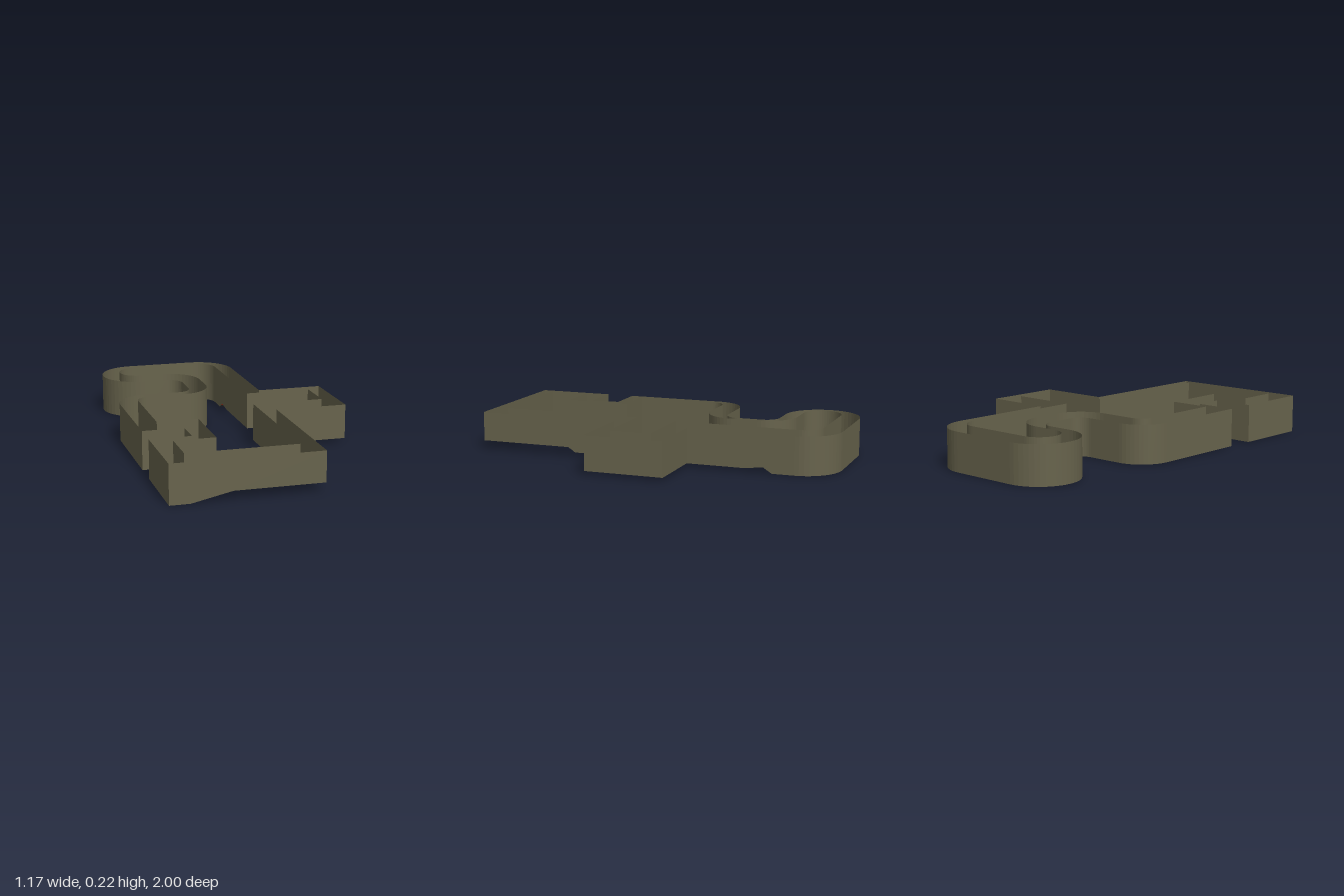
import * as THREE from 'three';

const HALF = 0.05;       // half the lane width
const GAP = 0.018;       // wall base height where the road is missing
const OUTER_TOP = 0.206;
const INNER_TOP = 0.219;

const material = (name, color) => {
  const m = new THREE.MeshStandardMaterial({ color, side: THREE.DoubleSide });
  m.name = name;
  return m;
};

// Closed centre line; each point carries the kind of surface that follows it
function buildPath() {
  const path = [];
  const add = (x, z, y = 0, kind = 'road') => path.push({ x, z, y, kind });
  const arc = (cx, cz, r, from, to) => {
    const n = Math.round(Math.abs(to - from) * 12);
    for (let i = 0; i <= n; i++) {
      const a = (from + (to - from) * i / n) * Math.PI / 2;
      add(cx + r * Math.cos(a), cz + r * Math.sin(a));
    }
  };
  // landing lip and raised front stretch
  add(0.145, 0.445, GAP, 'gap');
  add(0.145, 0.465, 0.032, 'edge');
  add(0.145, 0.487, 0.045);
  add(0.145, 0.95, 0.045);
  add(-0.27, 0.95, 0.045);
  add(-0.48, 0.95);
  // square chicane
  add(-0.535, 0.95);
  add(-0.535, 0.63);
  add(-0.315, 0.63);
  add(-0.315, 0.375);
  add(-0.535, 0.375);
  // winding curves
  arc(-0.41, -0.12, 0.125, 2, 3);
  arc(-0.215, -0.37, 0.125, 1, 0);
  arc(-0.215, -0.515, 0.125, 0, -1);
  arc(-0.345, -0.795, 0.155, 1, 3);
  arc(0.025, -0.795, 0.155, -1, 0);
  // jump ramp
  add(0.18, -0.68);
  add(0.18, -0.655, 0.015, 'edge');
  add(0.18, -0.632, 0.03, 'gap');
  add(0.18, -0.53, GAP, 'gap');
  // side loop without road, crossed by one narrow platform
  add(0.18, -0.165, GAP, 'gap');
  add(0.535, -0.165, GAP, 'gap');
  add(0.535, 0.165, GAP, 'gap');
  add(0.375, 0.165, GAP, 'edge');
  add(0.337, 0.165, GAP, 'gap');
  add(0.145, 0.165, GAP, 'gap');
  return path;
}

// Mitred offset of the centre line to both sides
function offsetSides(path) {
  const n = path.length;
  const normal = (a, b) => new THREE.Vector2(a.z - b.z, b.x - a.x).normalize();
  return path.map((p, i) => {
    const n0 = normal(path[(i + n - 1) % n], p);
    const n1 = normal(p, path[(i + 1) % n]);
    const m = n0.clone().add(n1).normalize();
    m.multiplyScalar(HALF / m.dot(n1));
    return {
      inner: new THREE.Vector3(p.x + m.x, p.y, p.z + m.y),
      outer: new THREE.Vector3(p.x - m.x, p.y, p.z - m.y),
    };
  });
}

function quadMesh(name, quads, mat) {
  const pos = [];
  for (const [a, b, c, d] of quads) {
    for (const v of [a, b, c, a, c, d]) pos.push(v.x, v.y, v.z);
  }
  const g = new THREE.BufferGeometry();
  g.setAttribute('position', new THREE.Float32BufferAttribute(pos, 3));
  g.computeVertexNormals();
  const mesh = new THREE.Mesh(g, mat);
  mesh.name = name;
  return mesh;
}

export function createModel() {
  const group = new THREE.Group();
  group.name = 'walledTrack';
  const wall = material('olive wall', 0x67634c);
  const road = material('dark asphalt', 0x3f3939);
  const red = material('red edge', 0xda3010);
  const yellow = material('start line', 0x82743c);

  const path = buildPath();
  const sides = offsetSides(path);
  const floors = { road: [], edge: [], gap: [] };
  const walls = { inner: [], outer: [] };
  const raise = (v, y) => new THREE.Vector3(v.x, y, v.z);

  path.forEach((p, i) => {
    const a = sides[i], b = sides[(i + 1) % path.length];
    // floor faces up
    floors[p.kind].push([a.outer, b.outer, b.inner, a.inner]);
    // outer wall faces outwards, inner wall faces into the ring
    walls.outer.push([b.outer, a.outer, raise(a.outer, OUTER_TOP), raise(b.outer, OUTER_TOP)]);
    walls.inner.push([a.inner, b.inner, raise(b.inner, INNER_TOP), raise(a.inner, INNER_TOP)]);
  });

  group.add(
    quadMesh('roadSurface', floors.road, road),
    quadMesh('redEdges', floors.edge, red),
    quadMesh('outerWall', walls.outer, wall),
    quadMesh('innerWall', walls.inner, wall),
  );

  // dashed start line
  for (let i = 0; i < 6; i++) {
    const dash = new THREE.Mesh(new THREE.BoxGeometry(0.01, 0.002, 0.005), yellow);
    dash.name = 'startLineDash';
    dash.position.set(-0.577 + i * 0.0168, 0.002, -0.122);
    group.add(dash);
  }
  return group;
}
